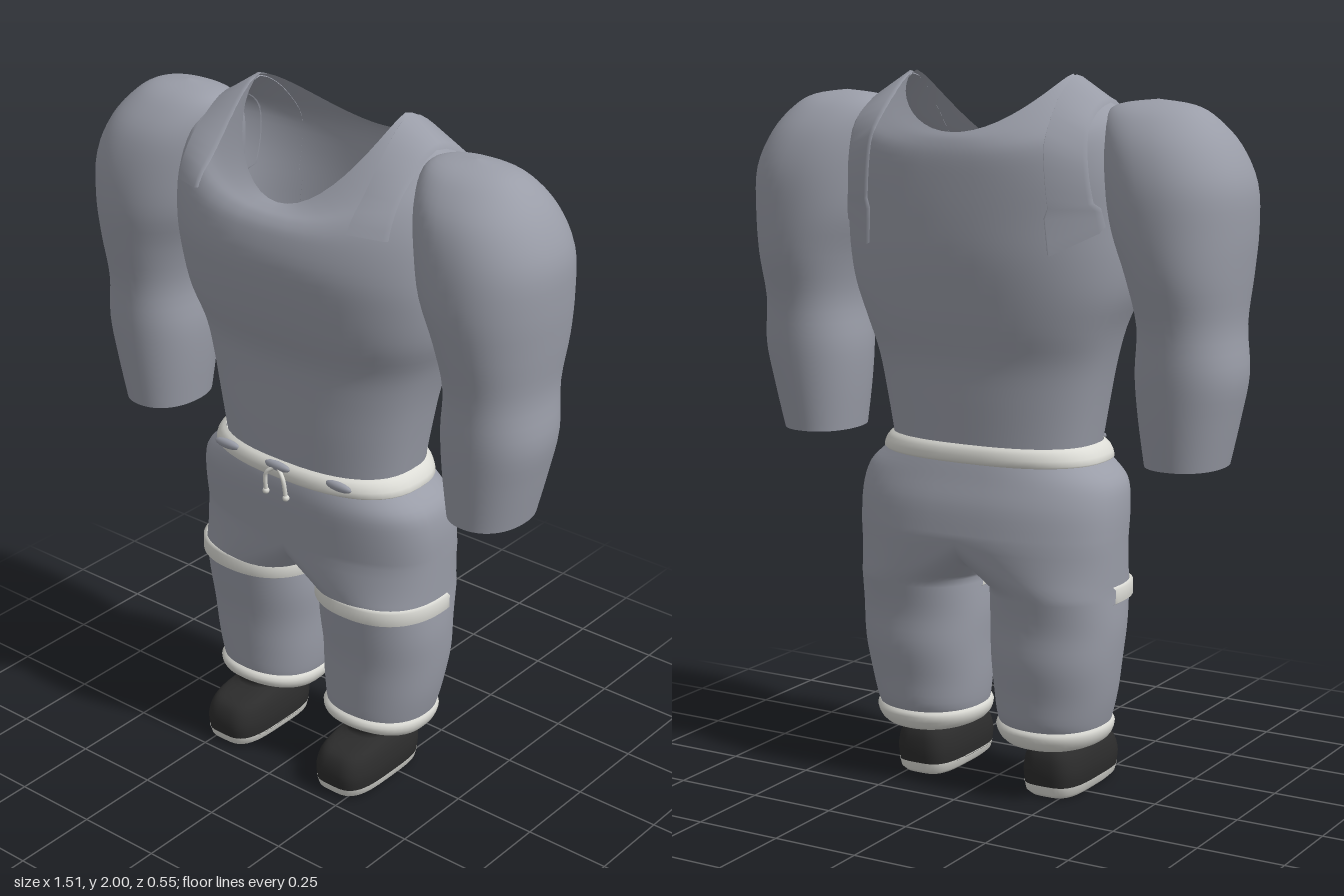
import * as THREE from 'three';
import { mergeGeometries, mergeVertices } from 'three/addons/utils/BufferGeometryUtils.js';

const SEG = 48;
const mat = (name, color, side = THREE.DoubleSide) => {
  const m = new THREE.MeshStandardMaterial({ color, side });
  m.name = name;
  return m;
};

// A row is [ySide, yFront, yBack, x0, x1, zFront, zBack, squareness]
const row = (y, x0, x1, zF, zB, p = 2.2) => [y, y, y, x0, x1, zF, zB, p];
const wide = (y, rx, zF, zB, p = 2.5) => row(y, -rx, rx, zF, zB, p);

// Point on a row's superellipse at angle t (t = 90 degrees is the front)
function ringPoint([yS, yF, yB, x0, x1, zF, zB, p], t) {
  const c = Math.cos(t), s = Math.sin(t);
  const pow = (v) => Math.sign(v) * Math.abs(v) ** (2 / p);
  const y = yS + ((s > 0 ? yF : yB) - yS) * Math.abs(s) ** 1.5;
  return [(x0 + x1) / 2 + (x1 - x0) / 2 * pow(c), y, (zF + zB) / 2 + (zF - zB) / 2 * pow(s)];
}

// Skin over loops of points listed from the bottom up; side -1 mirrors it
function skin(loops, closed = true, side = 1) {
  const n = loops[0].length, pos = [], idx = [];
  loops.forEach((l) => l.forEach(([x, y, z]) => pos.push(x * side, y, z)));
  for (let i = 0; i < loops.length - 1; i++) {
    for (let j = 0; j < (closed ? n : n - 1); j++) {
      const a = i * n + j, b = i * n + (j + 1) % n, c = a + n, d = b + n;
      if (side > 0) idx.push(a, c, b, b, c, d);
      else idx.push(a, b, c, b, d, c);
    }
  }
  const g = new THREE.BufferGeometry();
  g.setAttribute('position', new THREE.Float32BufferAttribute(pos, 3));
  g.setIndex(idx);
  g.computeVertexNormals();
  return g;
}

// Add smooth in-between rows
function refine(rows, sub) {
  const out = [];
  for (let i = 0; i < rows.length - 1; i++) {
    const [a, b, c, d] = [rows[Math.max(i - 1, 0)], rows[i], rows[i + 1], rows[Math.min(i + 2, rows.length - 1)]];
    for (let k = 0; k < sub; k++) {
      const t = k / sub;
      out.push(b.map((v, m) => v + 0.5 * t * (c[m] - a[m] + t * (2 * a[m] - 5 * v + 4 * c[m] - d[m]
        + t * (3 * (v - c[m]) + d[m] - a[m])))));
    }
  }
  return [...out, rows[rows.length - 1]];
}

const loop = (r, from = 0, to = 360) => {
  const full = to - from === 360;
  return Array.from({ length: full ? SEG : SEG + 1 }, (_, j) =>
    ringPoint(r, THREE.MathUtils.degToRad(from + (to - from) * j / SEG)));
};
const loft = (rows, sub = 4, side = 1) => skin(refine(rows, sub).map((r) => loop(r)), true, side);

export function createModel() {
  const group = new THREE.Group();
  const cloth = mat('grey cloth', 0x9a9da8);
  const trim = mat('off white trim', 0xdcdcd6);
  const black = mat('black shoe', 0x2c2c2c);
  const add = (name, geo, material, x = 0, y = 0, z = 0) => {
    const m = new THREE.Mesh(geo, material);
    m.name = name;
    m.position.set(x, y, z);
    group.add(m);
    return m;
  };

  // Shirt body with a scooped neckline
  const torso = add('shirtBody', loft([
    wide(0.96, 0.3, 0.175, -0.19),
    wide(1.1, 0.325, 0.185, -0.2),
    wide(1.22, 0.35, 0.19, -0.21),
    wide(1.32, 0.38, 0.2, -0.235),
    wide(1.42, 0.42, 0.235, -0.255, 2.4),
    wide(1.52, 0.44, 0.262, -0.27, 2.3),
    wide(1.62, 0.445, 0.277, -0.275, 2.3),
    [1.76, 1.7, 1.72, -0.44, 0.44, 0.262, -0.275, 2.4],
    [1.88, 1.735, 1.79, -0.41, 0.41, 0.24, -0.272, 2.4],
    [1.93, 1.75, 1.83, -0.35, 0.35, 0.215, -0.262, 2.2],
    [2.0, 1.76, 1.85, -0.245, 0.245, 0.19, -0.25, 2],
  ]), cloth);

  // Trousers: hips, then each leg joined along a crotch saddle
  const hipBase = wide(0.74, 0.4, 0.18, -0.245);
  const legRows = [
    row(0.175, 0.055, 0.34, 0.11, -0.15),
    row(0.22, 0.04, 0.355, 0.125, -0.18),
    row(0.3, 0.03, 0.375, 0.13, -0.19),
    row(0.4, 0.025, 0.39, 0.135, -0.205),
    row(0.5, 0.02, 0.398, 0.15, -0.205),
    row(0.6, 0.025, 0.395, 0.165, -0.22, 2.3),
  ];
  const saddle = loop(hipBase).map(([x, y, z], j) =>
    (x < 0 ? [0, y - 0.1 * Math.abs(Math.cos(j / SEG * Math.PI * 2)), z] : [x, y, z]));
  const legLoops = refine(legRows, 4).map((r) => loop(r));
  const thigh = legLoops[legLoops.length - 1];
  for (let k = 1; k <= 5; k++) {
    legLoops.push(thigh.map((p, j) => p.map((v, m) => v + (saddle[j][m] - v) * k / 5)));
  }
  const hips = loft([
    hipBase,
    wide(0.83, 0.4, 0.19, -0.235),
    wide(0.9, 0.385, 0.195, -0.215),
    wide(0.95, 0.335, 0.19, -0.2),
    wide(0.975, 0.31, 0.18, -0.19),
  ]);
  const trousers = mergeGeometries([hips, skin(legLoops), skin(legLoops, true, -1)]);
  trousers.deleteAttribute('normal');
  const welded = mergeVertices(trousers, 1e-4);
  welded.computeVertexNormals();
  add('trousers', welded, cloth);

  // Waistband, with folds of cloth lapping over it
  add('waistband', loft([
    wide(0.945, 0.325, 0.185, -0.195),
    wide(0.955, 0.338, 0.2, -0.208),
    wide(0.985, 0.325, 0.198, -0.207),
    wide(1.0, 0.308, 0.182, -0.196),
  ], 2), trim);
  const fold = new THREE.SphereGeometry(1, 12, 8);
  fold.scale(0.045, 0.014, 0.012);
  [[0, 0.99, 0.2], [0.2, 0.985, 0.18], [-0.2, 0.985, 0.18]].forEach((p) => add('waistFold', fold, cloth, ...p));

  const ray = new THREE.Raycaster();
  for (const s of [1, -1]) {
    const side = s > 0 ? 'left' : 'right';

    // Sleeve with a domed shoulder and open wrist
    add(side + 'Sleeve', loft([
      row(0.97, 0.475, 0.69, 0.135, -0.13),
      row(1.1, 0.458, 0.72, 0.15, -0.15),
      row(1.22, 0.45, 0.742, 0.16, -0.165),
      row(1.35, 0.458, 0.732, 0.165, -0.175),
      row(1.48, 0.43, 0.745, 0.19, -0.205),
      row(1.6, 0.385, 0.755, 0.207, -0.215),
      row(1.72, 0.36, 0.752, 0.2, -0.21),
      row(1.82, 0.345, 0.71, 0.17, -0.18),
      row(1.89, 0.345, 0.65, 0.115, -0.13),
      row(1.925, 0.38, 0.59, 0.06, -0.075),
      row(1.94, 0.49, 0.49, -0.01, -0.01),
    ], 4, s), cloth);

    // Shoulder strap laid over the shirt from chest to shoulder blade
    const strap = [];
    for (let i = 0; i <= 30; i++) {
      const k = i / 30, a = THREE.MathUtils.degToRad(218 - 207 * k);
      const out = new THREE.Vector3(0, Math.sin(a), Math.cos(a));
      const half = 0.052 + (k < 0.12 ? 0.012 : 0);
      const mid = 0.305 + 0.035 * Math.max(0, 1 - k * 2);
      strap.push([-1, -0.85, 0.85, 1].map((e) => {
        const start = new THREE.Vector3(mid + e * half, 1.7, -0.02);
        ray.set(start.clone().addScaledVector(out, 2), out.clone().negate());
        const hit = ray.intersectObject(torso)[0];
        const p = hit ? hit.point : start.addScaledVector(out, 0.24);
        return p.addScaledVector(out, Math.abs(e) === 1 ? -0.002 : 0.012).toArray();
      }));
    }
    add(side + 'Strap', skin(strap, false, -s), cloth);

    // Knee stripe around the front of the leg
    const stripe = [[0.568, 0], [0.574, 0.009], [0.612, 0.009], [0.618, 0]].map(([y, o]) =>
      loop(row(y, 0.023 - o, 0.397 + o, 0.162 + o, -0.216 - o, 2.3), -8, 188));
    add(side + 'KneeStripe', skin(stripe, false, s), trim);

    // Trouser cuff, lower at the back
    add(side + 'Cuff', loft([
      [0.2, 0.21, 0.19, 0.07, 0.325, 0.1, -0.135, 2.2],
      [0.165, 0.185, 0.15, 0.058, 0.337, 0.115, -0.15, 2.2],
      [0.175, 0.19, 0.162, 0.042, 0.352, 0.132, -0.172, 2.2],
      [0.2, 0.212, 0.192, 0.034, 0.36, 0.138, -0.185, 2.2],
      [0.215, 0.226, 0.208, 0.042, 0.354, 0.124, -0.176, 2.2],
    ], 2, s), trim);

    // Shoe, sole and insole
    add(side + 'Shoe', loft([
      row(0.03, 0.118, 0.296, 0.218, -0.115, 3.5),
      row(0.07, 0.115, 0.3, 0.222, -0.12, 3.5),
      row(0.11, 0.12, 0.295, 0.212, -0.118, 3.3),
      row(0.135, 0.13, 0.285, 0.185, -0.11, 3),
      row(0.15, 0.14, 0.276, 0.11, -0.1, 2.6),
      row(0.175, 0.132, 0.283, 0.105, -0.105, 2.5),
      row(0.2, 0.14, 0.275, 0.095, -0.1, 2.4),
    ], 3, s), black);
    add(side + 'Sole', loft([
      row(0, 0.207, 0.207, 0.05, 0.05, 3.5),
      row(0, 0.135, 0.28, 0.195, -0.1, 3.5),
      row(0.012, 0.122, 0.292, 0.214, -0.113, 3.5),
      row(0.035, 0.117, 0.298, 0.22, -0.117, 3.5),
    ], 1, s), trim);
    const insole = new THREE.CylinderGeometry(1, 1, 0.008, 32);
    insole.scale(0.066, 1, 0.092);
    add(side + 'Insole', insole, trim, s * 0.207, 0.188, -0.003);

    // Drawstring with a knotted end
    const path = new THREE.CatmullRomCurve3([[0.008, 0.985, 0.205], [0.03, 0.965, 0.213], [0.036, 0.905, 0.207]]
      .map(([x, y, z]) => new THREE.Vector3(x * s, y, z)));
    add(side + 'Drawstring', new THREE.TubeGeometry(path, 10, 0.006, 8), trim);
    add(side + 'DrawstringEnd', new THREE.SphereGeometry(0.01, 10, 8), trim, s * 0.036, 0.905, 0.207);
  }
  return group;
}
